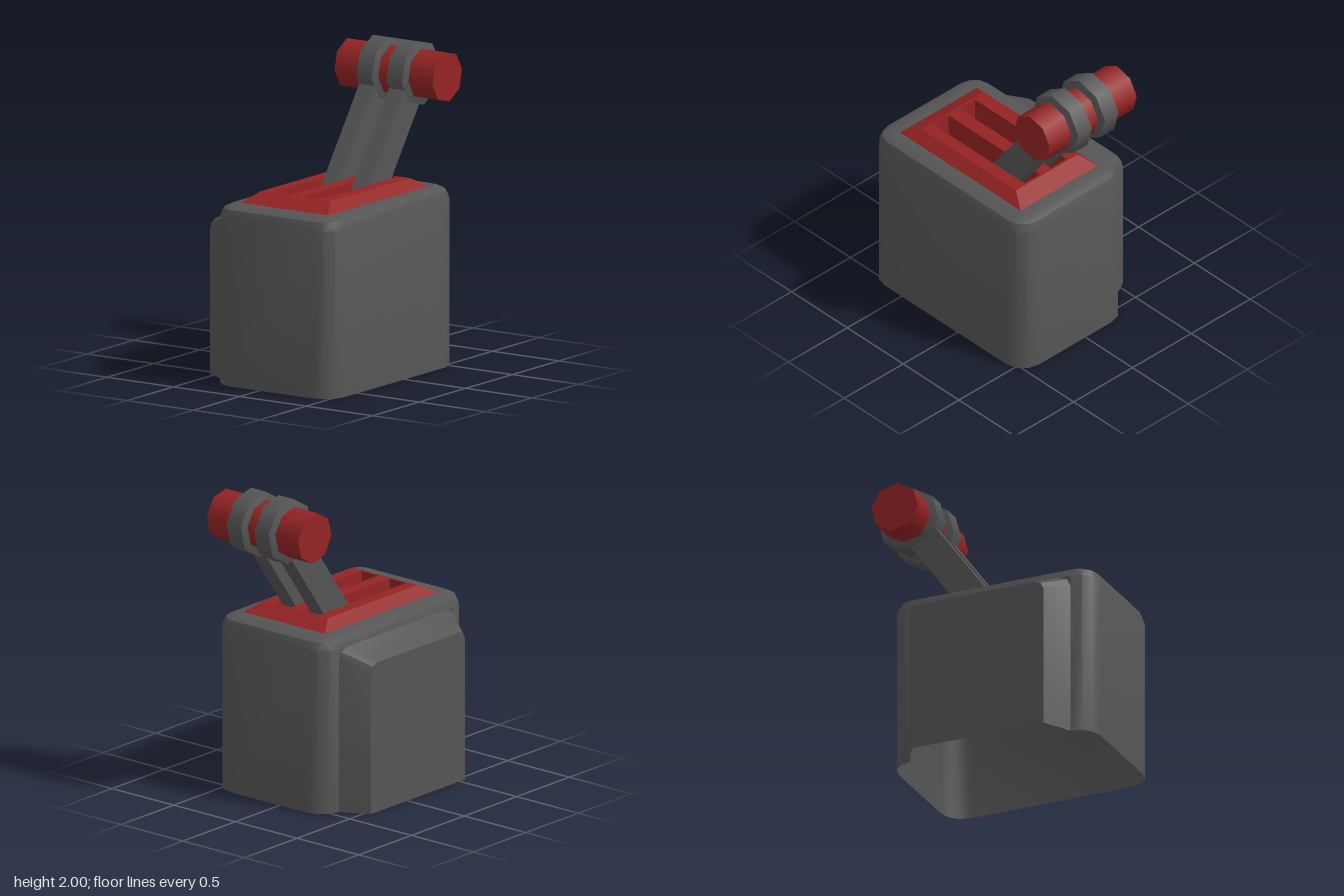
import * as THREE from 'three';
import { toCreasedNormals } from 'three/addons/utils/BufferGeometryUtils.js';

const grey = new THREE.MeshStandardMaterial({ color: 0x555555, side: THREE.DoubleSide });
grey.name = 'dark grey';
const red = new THREE.MeshStandardMaterial({ color: 0x942323, side: THREE.DoubleSide });
red.name = 'red';

// Rounded rectangle at height y, four points per corner
function ring(x0, x1, z0, z1, r, y) {
  const pts = [];
  const centres = [[x1 - r, z1 - r], [x0 + r, z1 - r], [x0 + r, z0 + r], [x1 - r, z0 + r]];
  centres.forEach(([cx, cz], k) => {
    for (let i = 0; i < 4; i++) {
      const a = (k + i / 3) * Math.PI / 2;
      pts.push([cx + r * Math.cos(a), y, cz + r * Math.sin(a)]);
    }
  });
  return pts;
}

// Skin a list of equal-length rows of points
function loft(rows, closed = true, skip = () => false) {
  const n = rows[0].length;
  const index = [];
  for (let i = 0; i < rows.length - 1; i++) {
    for (let j = 0; j < (closed ? n : n - 1); j++) {
      if (skip(i, j)) continue;
      const k = (j + 1) % n;
      const a = i * n + j, b = i * n + k, c = b + n, d = a + n;
      index.push(a, d, b, b, d, c);
    }
  }
  const geo = new THREE.BufferGeometry();
  geo.setAttribute('position', new THREE.Float32BufferAttribute(rows.flat(2), 3));
  geo.setIndex(index);
  return toCreasedNormals(geo, 0.6);
}

export function createModel() {
  const model = new THREE.Group();
  model.name = 'leverBox';
  const add = (name, geo, mat, parent = model) => {
    const mesh = new THREE.Mesh(geo, mat);
    mesh.name = name;
    parent.add(mesh);
    return mesh;
  };

  // Hollow housing, open below and towards the side panel
  const X0 = -0.362, X1 = 0.54, Z0 = -0.58, Z1 = 0.79, R = 0.14;
  const inset = (d, y) => ring(X0 + d, X1 - d, Z0 + d, Z1 - d, R - d, y);
  const lidBase = ring(-0.24, 0.415, -0.435, 0.645, 0, 1.13);
  add('housing', loft(
    [inset(0, 0), inset(0, 1.055), inset(0.022, 1.107), inset(0.07, 1.13), lidBase],
    true, (i, j) => i === 0 && j === 7), grey);

  // Tapered side panel with rounded upper corners
  const outline = (x, z0, z1, h, c) => [
    [x, 0, z0], [x, h - c, z0], [x, h - c * 0.3, z0 + c * 0.3], [x, h, z0 + c],
    [x, h, z1 - c], [x, h - c * 0.3, z1 - c * 0.3], [x, h - c, z1], [x, 0, z1],
  ];
  const outer = outline(-0.54, -0.345, 0.55, 0.97, 0.06);
  add('sidePanel', loft([
    outline(X0, Z0 + R, Z1 - R, 1.055, 0),
    outline(X0, Z0 + R, Z1 - R, 1.055, 0.07),
    outer,
    outer.map(() => [-0.54, 0, 0.1]),
  ], false), grey);

  // Lid: sloped rim and a top plate with two slots
  add('lidRim', loft([lidBase, ring(-0.175, 0.35, -0.325, 0.525, 0, 1.19)]), red);
  const rect = (Type, x0, x1, z0, z1) => new Type([[x0, z0], [x1, z0], [x1, z1], [x0, z1]]
    .map(([x, z]) => new THREE.Vector2(x, -z)));
  const plate = rect(THREE.Shape, -0.175, 0.35, -0.325, 0.525);
  const leverX = [-0.028, 0.198];
  leverX.forEach((x) => plate.holes.push(rect(THREE.Path, x - 0.066, x + 0.066, -0.31, 0.51)));
  add('lidTop', new THREE.ShapeGeometry(plate).rotateX(-Math.PI / 2).translate(0, 1.19, 0), red);

  // Octagonal part lying along x
  const octagon = (r0, r1, w, open) =>
    new THREE.CylinderGeometry(r0, r1, w, 8, 1, open, 1.43).rotateZ(Math.PI / 2);

  // Slot wells and the two levers with their hubs
  const pivot = new THREE.Vector3(0, 1.796, -0.58);
  for (const x of leverX) {
    const well = (y) => ring(x - 0.066, x + 0.066, -0.31, 0.51, 0, y);
    add('slot', loft([well(1.19), well(0.9), well(0.9).map(() => [x, 0.9, 0.1])]), red);

    const lever = new THREE.Group();
    lever.name = 'lever';
    lever.position.set(x, pivot.y, pivot.z);
    model.add(lever);
    const arm = add('arm', new THREE.BoxGeometry(0.115, 1.08, 0.194).translate(0, -0.6, 0), grey, lever);
    arm.rotation.x = -0.62;
    add('hubRim', octagon(0.207, 0.207, 0.116, true), grey, lever);
    // Bevelled hub sides
    add('hubSide', octagon(0.155, 0.207, 0.017, true).translate(-0.0665, 0, 0), grey, lever);
    add('hubSide', octagon(0.207, 0.155, 0.017, true).translate(0.0665, 0, 0), grey, lever);
  }

  // Grip bar through both hubs
  add('gripBar', octagon(0.16, 0.16, 0.74, false).translate(0.085, pivot.y, pivot.z), red);
  return model;
}
